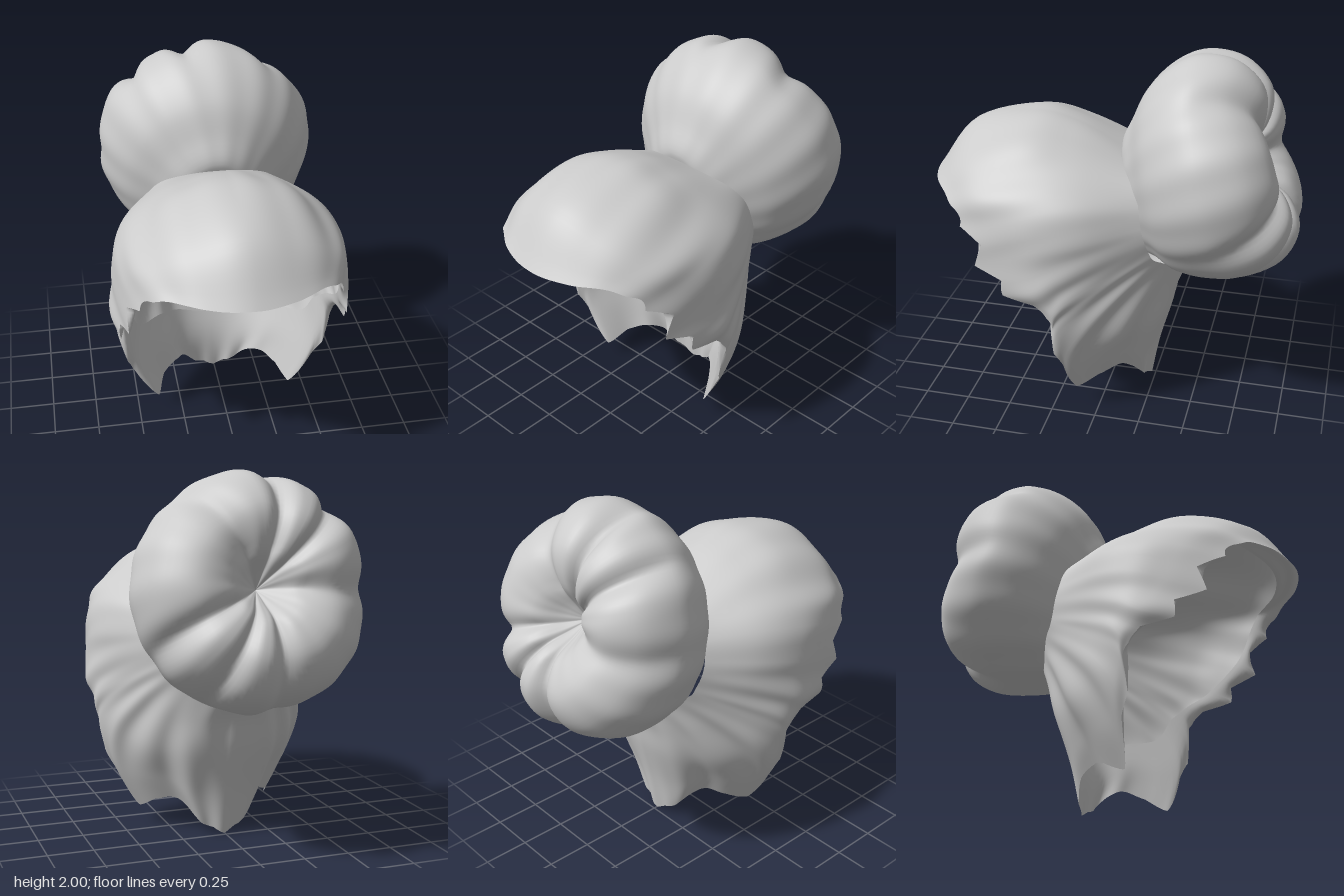
import * as THREE from 'three';

const V = (x, y, z) => new THREE.Vector3(x, y, z);
const { lerp, smoothstep } = THREE.MathUtils;
const material = new THREE.MeshStandardMaterial({ color: 0xcccccc, side: THREE.DoubleSide });

// Smooth surface from point(i / around, j / along), closed in the first direction.
function loopSurface(name, around, along, point) {
  const pos = [], idx = [];
  for (let i = 0; i < around; i++)
    for (let j = 0; j <= along; j++) pos.push(...point(i / around, j / along).toArray());
  for (let i = 0; i < around; i++)
    for (let j = 0; j < along; j++) {
      const a = i * (along + 1) + j, b = ((i + 1) % around) * (along + 1) + j;
      idx.push(a, a + 1, b, b, a + 1, b + 1);
    }
  const g = new THREE.BufferGeometry();
  g.setAttribute('position', new THREE.Float32BufferAttribute(pos, 3));
  g.setIndex(idx);
  g.computeVertexNormals();
  const mesh = new THREE.Mesh(g, material);
  mesh.name = name;
  return mesh;
}

// Locks of hair from the gathered knot to the rim, from top centre down the left to the nape.
const TOP = [[0, 1.43, -0.09], [0, 1.57, 0.2], [0, 1.61, 0.45], [0, 1.52, 0.79], [0, 1.25, 1.0]];
const SIDE = [
  [[0.16, 1.41, -0.12], [0.2, 1.53, 0.19], [0.25, 1.56, 0.44], [0.26, 1.45, 0.75], [0.22, 1.25, 0.95]],
  [[0.29, 1.35, -0.18], [0.39, 1.42, 0.14], [0.46, 1.4, 0.38], [0.48, 1.33, 0.64], [0.41, 1.24, 0.83]],
  [[0.37, 1.26, -0.21], [0.53, 1.28, 0.07], [0.59, 1.25, 0.3], [0.58, 1.19, 0.51], [0.52, 1.12, 0.72]],
  [[0.4, 1.16, -0.23], [0.56, 1.12, 0.03], [0.62, 1.07, 0.24], [0.61, 1.0, 0.42], [0.57, 0.92, 0.63]],
  [[0.4, 1.08, -0.25], [0.54, 1.0, -0.02], [0.62, 0.91, 0.17], [0.64, 0.83, 0.3], [0.6, 0.78, 0.47]],
  [[0.38, 1.01, -0.27], [0.51, 0.9, -0.06], [0.6, 0.8, 0.11], [0.62, 0.72, 0.19], [0.6, 0.67, 0.23]],
  [[0.36, 0.96, -0.29], [0.48, 0.83, -0.1], [0.57, 0.7, 0.06], [0.6, 0.59, 0.17], [0.56, 0.42, 0.21]],
  [[0.31, 0.92, -0.33], [0.43, 0.75, -0.16], [0.52, 0.55, 0], [0.5, 0.33, 0.1], [0.39, 0.1, 0.13]],
  [[0.24, 0.87, -0.37], [0.32, 0.7, -0.27], [0.36, 0.5, -0.18], [0.32, 0.33, -0.11], [0.25, 0.19, -0.08]],
  [[0.12, 0.84, -0.43], [0.18, 0.68, -0.36], [0.2, 0.5, -0.31], [0.17, 0.25, -0.23], [0.12, 0.06, -0.2]],
];
const NAPE = [[0, 0.82, -0.45], [0, 0.68, -0.38], [0, 0.5, -0.34], [0, 0.25, -0.27], [0, 0, -0.22]];
const mirror = (lock) => lock.map(([x, y, z]) => [-x, y, z]);
const LOCKS = [TOP, ...SIDE, NAPE, ...SIDE.map(mirror).reverse()];

// One closed guide ring through the same point of every lock.
const rings = [0, 1, 2, 3, 4].map((k) =>
  new THREE.CatmullRomCurve3(LOCKS.map((l) => V(...l[k])), true, 'catmullrom', 0.5));

// Lock number at s: 0 at the brim, 11 at the nape.
const lockAt = (s) => Math.min(s, 1 - s) * LOCKS.length;

// detail = 0 gives the plain sheet, 1 adds ragged ends and strand grooves.
function hairPoint(s, t, detail = 1) {
  const lock = new THREE.CatmullRomCurve3(rings.map((r) => r.getPoint(s)), false, 'catmullrom', 0.5);
  const key = lockAt(s);
  const ragged = smoothstep(key, 2.2, 3.2) * lerp(0.11, 0.02, smoothstep(key, 7, 9));
  const tooth = Math.abs((key % 1) - 0.5) * 2;
  const p = lock.getPoint(t * (1 - detail * ragged * (1 - tooth)));
  // grooves fade at the knot and deepen towards the nape
  const nape = smoothstep(key, 5, 9);
  const groove = Math.sin(key * 5.1 + t * 2) * 0.6 + Math.sin(s * 151 - t * 3) * 0.4;
  const depth = detail * groove * (0.01 + 0.012 * nape) * Math.sin(Math.min(1, t * 1.3) * Math.PI * 0.6);
  return V(p.x * (1 + depth), p.y + Math.max(0, p.y - 1) * depth, p.z - depth * 0.6 * nape);
}

// Lining folds from the rim back inside the hair, ending in a smooth open edge.
function liningPoint(s, t) {
  const key = lockAt(s);
  const depth = lerp(0.16, 0.5, smoothstep(key, 3, 8)) - 0.12 * smoothstep(key, 8.5, 11);
  const inset = Math.sin(t * Math.PI / 2);
  const p = hairPoint(s, 1 - depth * t, 1 - inset);
  const brim = 1 - smoothstep(key, 1, 4);
  p.x *= 1 - 0.1 * inset;
  p.z += 0.05 * inset * (1 - brim);
  p.y = lerp(p.y, Math.min(p.y, 1.25), brim * inset);
  return p;
}

// Bun: a softly creased pumpkin around an axis leaning back and up.
const bunCentre = V(0, 1.38, -0.56), bunAxis = V(0, 0.233, -0.972), bunUp = V(0, 0.972, 0.233);
const bunProfile = new THREE.CatmullRomCurve3(
  [[0, -0.44], [0.1, -0.46], [0.22, -0.47], [0.35, -0.38], [0.49, -0.27], [0.585, -0.12], [0.62, 0.05],
    [0.55, 0.25], [0.38, 0.36], [0.2, 0.32], [0.08, 0.19], [0, 0.1]].map(([r, h]) => V(r, h, 0)));

function bunPoint(s, t) {
  const { x: r, y: h } = bunProfile.getPoint(t);
  const a = s * Math.PI * 2;
  const swirl = a + 0.3 * Math.sin(2 * a + 1) + 0.3 * h;
  const crease = Math.pow(1 - Math.min(1, Math.hypot(Math.sin(swirl * 3.5), 0.2)), 1.4);
  const strength = smoothstep(h, -0.2, 0.35);
  const rr = r * (1 - (0.01 + 0.09 * strength) * crease + 0.006 * Math.sin(a * 17 + h * 4));
  // upper lobes sit further forward than the lower ones
  const hh = h - strength * Math.min(1, r * 5) * (0.08 * crease + 0.03 * Math.cos(a));
  // underside of the knot hangs lower
  const sag = h < 0 ? -h * h * (1 - Math.cos(a) * Math.min(1, r * 5)) / 2 : 0;
  return bunCentre.clone()
    .addScaledVector(bunAxis, hh)
    .addScaledVector(bunUp, Math.cos(a) * rr + sag)
    .add(V(Math.sin(a) * rr, 0, 0));
}

export function createModel() {
  const group = new THREE.Group();
  group.name = 'hairWithBun';
  group.add(
    loopSurface('sweptHair', 264, 28, (s, t) => hairPoint(s, t)),
    loopSurface('hairLining', 264, 8, liningPoint),
    loopSurface('bun', 144, 60, bunPoint),
  );
  return group;
}
